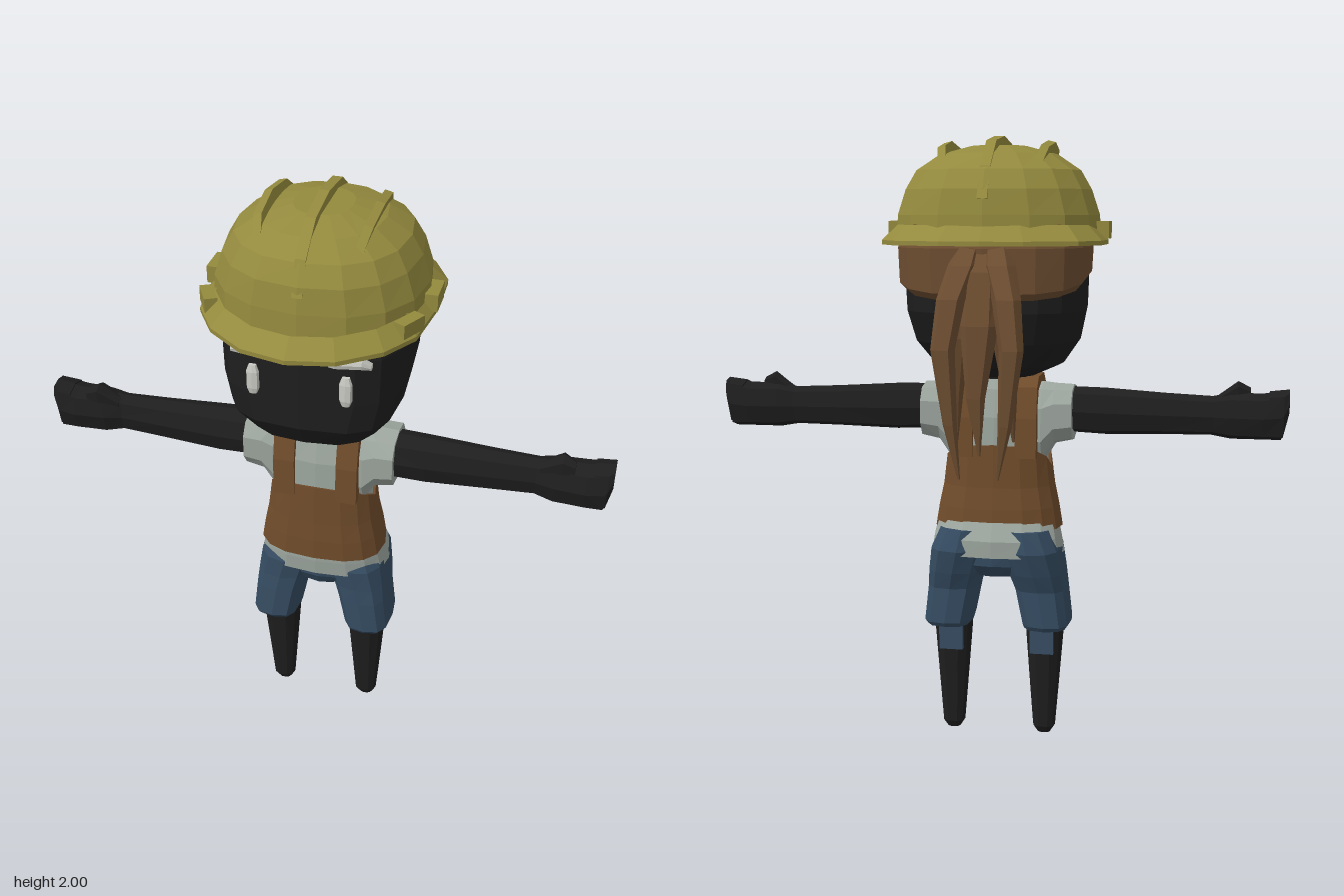
import * as THREE from 'three';

const mat = (name, color, side = THREE.FrontSide) =>
  Object.assign(new THREE.MeshStandardMaterial({ color, flatShading: true, side }), { name });

// Skin a list of closed rings (each running from +x towards +z), rising along y.
function skin(rings, capStart = true, capEnd = true) {
  const pos = [];
  const tri = (...pts) => pts.forEach((p) => pos.push(p.x, p.y, p.z));
  const n = rings[0].length;
  for (let i = 0; i < rings.length - 1; i++) {
    for (let j = 0; j < n; j++) {
      const k = (j + 1) % n, a = rings[i], b = rings[i + 1];
      tri(a[j], b[j], a[k]);
      tri(a[k], b[j], b[k]);
    }
  }
  const cap = (ring, down) => {
    const c = ring.reduce((s, p) => s.add(p), new THREE.Vector3()).divideScalar(n);
    ring.forEach((p, j) => {
      const q = ring[(j + 1) % n];
      down ? tri(c, p, q) : tri(c, q, p);
    });
  };
  if (capStart) cap(rings[0], true);
  if (capEnd) cap(rings[rings.length - 1], false);
  const g = new THREE.BufferGeometry();
  g.setAttribute('position', new THREE.Float32BufferAttribute(pos, 3));
  g.computeVertexNormals();
  return g;
}

// Rounded-square ring: y, centre x and z, half sizes, squareness.
function oval([y, cx, cz, rx, rz, e = 2.6], segs, rule) {
  const round = (v) => Math.sign(v) * Math.abs(v) ** (2 / e);
  return Array.from({ length: segs }, (_, i) => {
    const a = (i / segs) * Math.PI * 2;
    const p = new THREE.Vector3(cx + rx * round(Math.cos(a)), y, cz + rz * round(Math.sin(a)));
    if (rule) rule(p);
    return p;
  });
}
const loft = (sections, segs = 12, rule) => skin(sections.map((s) => oval(s, segs, rule)));

// Limb lofted along +x: x, centre y and z, half height, half depth.
const limb = (sections, segs = 8) =>
  loft(sections.map(([x, cy, cz, h, d, e]) => [x, -cy, cz, h, d, e]), segs).rotateZ(-Math.PI / 2);

function mirrored(geo) {
  const g = geo.index ? geo.toNonIndexed() : geo.clone();
  const p = g.attributes.position, b = new THREE.Vector3(), c = new THREE.Vector3();
  g.scale(-1, 1, 1);
  for (let i = 0; i < p.count; i += 3) {
    b.fromBufferAttribute(p, i + 1);
    c.fromBufferAttribute(p, i + 2);
    p.setXYZ(i + 1, c.x, c.y, c.z);
    p.setXYZ(i + 2, b.x, b.y, b.z);
  }
  g.computeVertexNormals();
  return g;
}

// Flat profile drawn in (z, y), extruded across x and centred on it.
function slab(points, width) {
  const shape = new THREE.Shape(points.map(([z, y]) => new THREE.Vector2(z, y)));
  return new THREE.ExtrudeGeometry(shape, { depth: width, bevelEnabled: false })
    .rotateY(-Math.PI / 2).translate(width / 2, 0, 0);
}

export function createModel() {
  const model = new THREE.Group();
  model.name = 'builder';
  const skinMat = mat('black skin', 0x1e1e1e);
  const helmetMat = mat('olive helmet', 0x948a3e, THREE.DoubleSide);
  const shirtMat = mat('grey shirt', 0x9ca59e);
  const vestMat = mat('brown vest', 0x704c2b);
  const denim = mat('blue denim', 0x364d63);
  const hairMat = mat('brown hair', 0x6e4e31, THREE.DoubleSide);
  const white = mat('off white', 0xcacac4);

  const add = (name, geo, material) => {
    const m = new THREE.Mesh(geo, material);
    m.name = name;
    model.add(m);
  };
  const pair = (name, geo, material) => {
    add(name + 'Left', geo, material);
    add(name + 'Right', mirrored(geo), material);
  };

  // Head and neck
  add('head', loft([
    [1.23, 0, 0.02, 0.12, 0.12, 2.5], [1.27, 0, 0.03, 0.21, 0.21, 2.8],
    [1.35, 0, 0.025, 0.265, 0.265, 3.2], [1.45, 0, 0.005, 0.285, 0.285, 3.5],
    [1.6, 0, 0, 0.29, 0.29, 3.5], [1.74, 0, 0, 0.27, 0.27, 3],
  ], 16), skinMat);
  add('neck', loft([[1.14, 0, 0, 0.08, 0.06], [1.26, 0, 0, 0.08, 0.06]], 8), skinMat);

  // Eyes and brows
  pair('eye', loft([
    [1.455, 0.143, 0.284, 0.012, 0.008, 3], [1.475, 0.143, 0.285, 0.02, 0.012, 3],
    [1.53, 0.143, 0.285, 0.02, 0.012, 3], [1.553, 0.143, 0.284, 0.012, 0.008, 3],
  ], 8), white);
  pair('brow', limb([
    [0.09, 1.59, 0.284, 0.008, 0.008], [0.11, 1.597, 0.284, 0.017, 0.016],
    [0.19, 1.6, 0.272, 0.017, 0.018], [0.215, 1.587, 0.26, 0.009, 0.014],
  ]), white);

  // Hair swept back under the helmet
  add('hairBand', loft([
    [1.555, 0, -0.03, 0.285, 0.27, 3], [1.58, 0, -0.03, 0.306, 0.29, 3],
    [1.65, 0, -0.03, 0.31, 0.295, 3], [1.75, 0, -0.03, 0.28, 0.26, 3],
  ], 16, (p) => {
    p.z = Math.min(p.z, 0.22);
    if (p.y < 1.6) p.y += 0.22 * p.z;
  }), hairMat);

  // Ponytail strands, tip to root
  pair('outerStrand', loft([
    [0.95, 0.06, -0.39, 0.004, 0.004], [1.12, 0.085, -0.4, 0.022, 0.022],
    [1.35, 0.105, -0.405, 0.038, 0.03], [1.5, 0.085, -0.375, 0.045, 0.035],
    [1.6, 0.055, -0.32, 0.05, 0.045], [1.67, 0.04, -0.27, 0.04, 0.04],
  ], 6), hairMat);
  pair('innerStrand', loft([
    [1.05, 0.09, -0.27, 0.004, 0.004], [1.2, 0.085, -0.3, 0.022, 0.025],
    [1.38, 0.07, -0.335, 0.036, 0.035], [1.52, 0.05, -0.33, 0.042, 0.045],
    [1.64, 0.035, -0.28, 0.04, 0.045],
  ], 6), hairMat);
  add('middleStrand', loft([
    [1.02, 0, -0.37, 0.004, 0.004], [1.2, 0.01, -0.375, 0.03, 0.02],
    [1.42, 0, -0.365, 0.06, 0.035], [1.58, 0, -0.32, 0.06, 0.045], [1.66, 0, -0.27, 0.05, 0.04],
  ], 6), hairMat);

  // Helmet dome
  add('helmetDome', skin([
    [1.67, 0, -0.005, 0.33, 0.315], [1.75, 0, -0.005, 0.327, 0.31],
    [1.83, 0, -0.005, 0.3, 0.298], [1.89, 0, -0.005, 0.265, 0.265],
    [1.94, 0, 0, 0.19, 0.2], [1.967, 0, 0, 0.09, 0.1],
  ].map((s) => oval([...s, 2.3], 16)), false, true), helmetMat);

  // Brim with a pointed front peak
  const half = [[0, 0.43], [0.14, 0.4], [0.26, 0.31], [0.33, 0.2], [0.355, 0],
    [0.35, -0.17], [0.29, -0.28], [0.13, -0.345], [0, -0.36]];
  const outline = [...half].reverse().concat(half.slice(1, -1).map(([x, z]) => [-x, z]));
  const brimRing = (s, y) => outline.map(([x, z]) => new THREE.Vector3(x * s, y, z * s));
  add('helmetBrim', skin([brimRing(0.8, 1.69), brimRing(1, 1.658), brimRing(1, 1.672),
    brimRing(0.87, 1.72)], false, false), helmetMat);

  // Helmet ridges
  const ridge = [[0.3, 1.8], [0.255, 1.9], [0.15, 1.98], [0, 2], [-0.15, 1.98],
    [-0.26, 1.9], [-0.32, 1.8], [-0.2, 1.79], [0.2, 1.79]];
  add('centreRidge', slab(ridge, 0.032), helmetMat);
  pair('sideRidge', slab(ridge.map(([z, y]) => [z * 0.84, y - 1.9]), 0.026)
    .rotateZ(-0.25).translate(0.145, 1.885, 0), helmetMat);

  // Clips on the helmet sides
  pair('sideClip', new THREE.BoxGeometry(0.04, 0.055, 0.1).translate(0.34, 1.703, 0), helmetMat);
  pair('frontClip', new THREE.BoxGeometry(0.04, 0.045, 0.09).rotateY(-0.5)
    .translate(0.305, 1.7, 0.19), helmetMat);

  // Shirt and sleeves
  add('shirt', loft([
    [0.645, 0, -0.03, 0.225, 0.15], [0.7, 0, -0.028, 0.215, 0.152], [0.76, 0, -0.012, 0.2, 0.135],
    [0.95, 0, 0, 0.165, 0.12], [1.1, 0, 0, 0.155, 0.113], [1.19, 0, 0, 0.15, 0.088],
    [1.22, 0, 0, 0.11, 0.07],
  ], 16), shirtMat);
  pair('sleeve', limb([
    [0.1, 1.08, 0, 0.13, 0.085], [0.15, 1.075, 0, 0.135, 0.1], [0.19, 1.105, 0, 0.1, 0.1],
    [0.25, 1.11, 0, 0.092, 0.1],
  ], 10), shirtMat);

  // Vest and shoulder straps
  add('vest', loft([
    [0.728, 0, -0.005, 0.215, 0.146], [0.8, 0, -0.003, 0.203, 0.142],
    [0.87, 0, 0, 0.188, 0.134], [0.93, 0, 0, 0.176, 0.126],
  ], 16, (p) => { if (p.y > 0.9) p.y += 0.65 * Math.abs(p.z); }), vestMat);
  pair('vestStrap', slab([
    [0.127, 0.97], [0.122, 1.1], [0.1, 1.2], [0.06, 1.232], [-0.06, 1.232], [-0.1, 1.2],
    [-0.122, 1.1], [-0.127, 0.97], [-0.09, 0.97], [-0.05, 1.18], [0.05, 1.18], [0.09, 0.97],
  ], 0.07).translate(0.105, 0, 0), vestMat);

  // Arms with mitten hands
  pair('arm', limb([
    [0.2, 1.12, 0.005, 0.075, 0.072], [0.35, 1.115, 0.005, 0.077, 0.066],
    [0.55, 1.112, 0, 0.068, 0.055], [0.72, 1.11, -0.005, 0.063, 0.046],
  ]), skinMat);
  pair('hand', limb([
    [0.69, 1.11, -0.005, 0.062, 0.044], [0.76, 1.11, 0, 0.075, 0.06],
    [0.86, 1.11, 0, 0.075, 0.068], [0.92, 1.115, 0, 0.08, 0.062, 3],
  ]).translate(0, 0, 0), skinMat);
  pair('thumb', limb([
    [0.71, 1.15, 0.01, 0.02, 0.03], [0.78, 1.185, 0.02, 0.036, 0.035],
    [0.82, 1.175, 0.025, 0.025, 0.025],
  ], 6), skinMat);
  pair('fingers', limb([
    [0.88, 1.115, 0, 0.078, 0.062, 3], [0.925, 1.12, 0, 0.078, 0.06, 3],
    [0.942, 1.16, 0, 0.04, 0.045, 3],
  ]), skinMat);

  // Shorts
  add('shortsSeat', loft([
    [0.565, 0, -0.02, 0.08, 0.09], [0.61, 0, -0.03, 0.15, 0.125], [0.7, 0, -0.03, 0.2, 0.135],
  ], 12), denim);
  pair('shortsLeg', loft([
    [0.385, 0.165, -0.012, 0.075, 0.108, 3], [0.4, 0.167, -0.012, 0.082, 0.118, 3],
    [0.52, 0.148, -0.012, 0.088, 0.118, 3], [0.58, 0.135, -0.025, 0.096, 0.13, 2.8],
    [0.66, 0.115, -0.035, 0.106, 0.146, 2.6], [0.73, 0.1, -0.04, 0.09, 0.128, 2.4],
  ], 12), denim);
  pair('shortsBackFlap', new THREE.BoxGeometry(0.08, 0.1, 0.025)
    .translate(0.155, 0.345, -0.068), denim);

  // Tapered legs
  pair('leg', loft([
    [0, 0.157, -0.015, 0.022, 0.02], [0.025, 0.157, -0.015, 0.038, 0.035],
    [0.2, 0.157, -0.012, 0.052, 0.052], [0.37, 0.157, -0.008, 0.065, 0.07],
    [0.45, 0.157, -0.008, 0.065, 0.07],
  ], 10), skinMat);

  return model;
}
